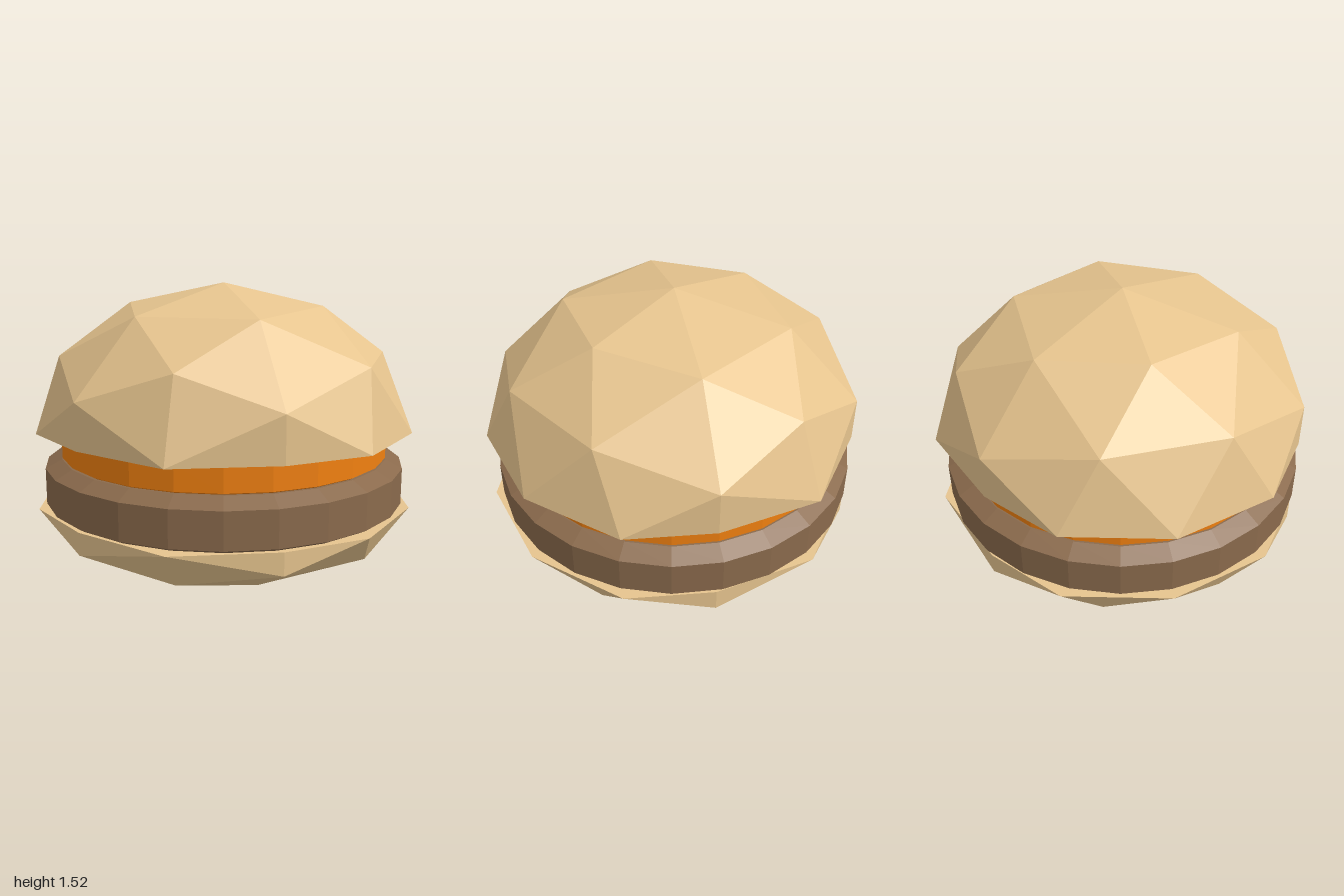
import * as THREE from 'three';

const paint = (color) => new THREE.MeshStandardMaterial({ color, flatShading: true });

// Half of a faceted ball: vertices past the equator are pressed flat to form the cut face
function halfBun(name, height, isTop, material) {
  const geometry = new THREE.IcosahedronGeometry(1, 1);
  const p = geometry.attributes.position;
  for (let i = 0; i < p.count; i++) {
    const y = p.getY(i);
    p.setY(i, height * (isTop ? Math.max(y, 0) : Math.min(y, 0)));
  }
  geometry.computeVertexNormals();
  const mesh = new THREE.Mesh(geometry, material);
  mesh.name = name;
  return mesh;
}

// Round slab with bevelled edges, profile given as [radius, height] from bottom to top
function slab(name, profile, material) {
  const points = profile.map(([r, y]) => new THREE.Vector2(r, y));
  const mesh = new THREE.Mesh(new THREE.LatheGeometry(points, 24), material);
  mesh.name = name;
  return mesh;
}

export function createModel() {
  const group = new THREE.Group();
  group.name = 'burger';
  const bread = paint(0xe6c48e);

  // Buns
  const bottomBun = halfBun('bottomBun', 0.375, false, bread);
  bottomBun.position.y = 0.38;
  const topBun = halfBun('topBun', 0.75, true, bread);
  topBun.position.y = 0.78;

  // Fillings
  const patty = slab('patty',
    [[0, 0.382], [0.925, 0.382], [0.957, 0.4], [0.957, 0.587], [0.87, 0.632], [0, 0.632]],
    paint(0x8a6a4c));
  const cheese = slab('cheese',
    [[0, 0.63], [0.85, 0.63], [0.868, 0.64], [0.868, 0.768], [0.85, 0.778], [0, 0.778]],
    paint(0xf08010));

  group.add(bottomBun, patty, cheese, topBun);
  // Rest the lowest point on the ground
  group.position.y = -0.005;
  return group;
}
